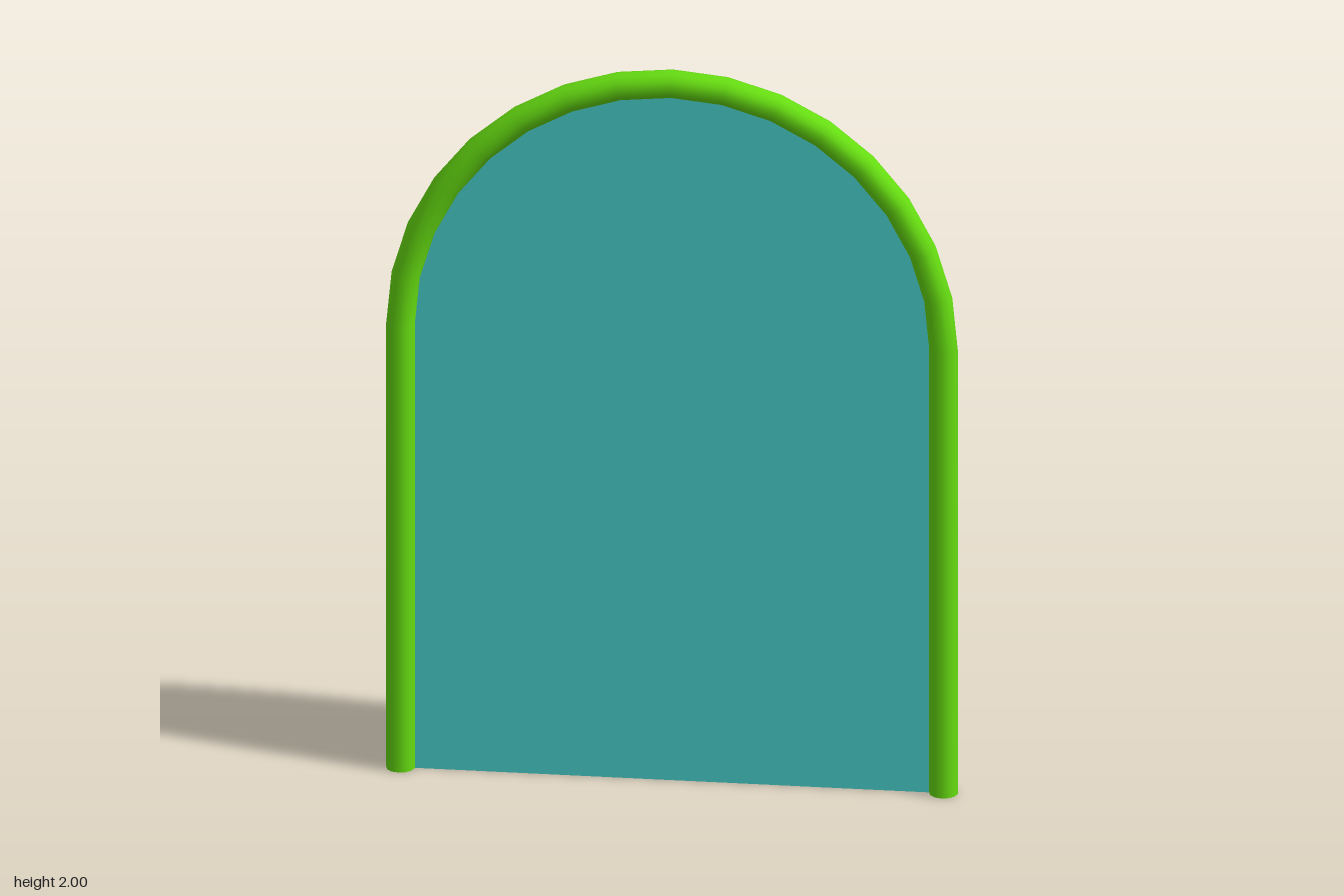
import * as THREE from 'three';

const TUBE = 0.0375;           // frame tube radius
const HALF = 0.75 - TUBE;      // half width to the tube centre line
const SPRING = 1.25;           // height where the arch begins
const ARCH_STEPS = 16;
const SIDES = 12;

export function createModel() {
  const model = new THREE.Group();
  model.name = 'archedPanel';

  const frameMaterial = new THREE.MeshStandardMaterial({ color: 0x66dd11 });
  const panelMaterial = new THREE.MeshStandardMaterial({ color: 0x48d1cc, side: THREE.DoubleSide });

  const add = (name, geometry, material, x = 0, y = 0) => {
    const mesh = new THREE.Mesh(geometry, material);
    mesh.name = name;
    mesh.position.set(x, y, 0);
    model.add(mesh);
  };

  // Half-ring arch over two straight posts
  add('frameArch', new THREE.TorusGeometry(HALF, TUBE, SIDES, ARCH_STEPS, Math.PI), frameMaterial, 0, SPRING);
  for (const [name, side] of [['leftPost', 1], ['rightPost', -1]]) {
    add(name, new THREE.CylinderGeometry(TUBE, TUBE, SPRING, SIDES), frameMaterial, side * HALF, SPRING / 2);
  }

  // Flat sheet filling the frame up to the tube centre line
  const outline = new THREE.Shape();
  outline.moveTo(-HALF, 0);
  outline.lineTo(HALF, 0);
  outline.lineTo(HALF, SPRING);
  outline.absarc(0, SPRING, HALF, 0, Math.PI, false);
  outline.closePath();
  add('panel', new THREE.ShapeGeometry(outline, ARCH_STEPS / 2), panelMaterial);

  return model;
}
